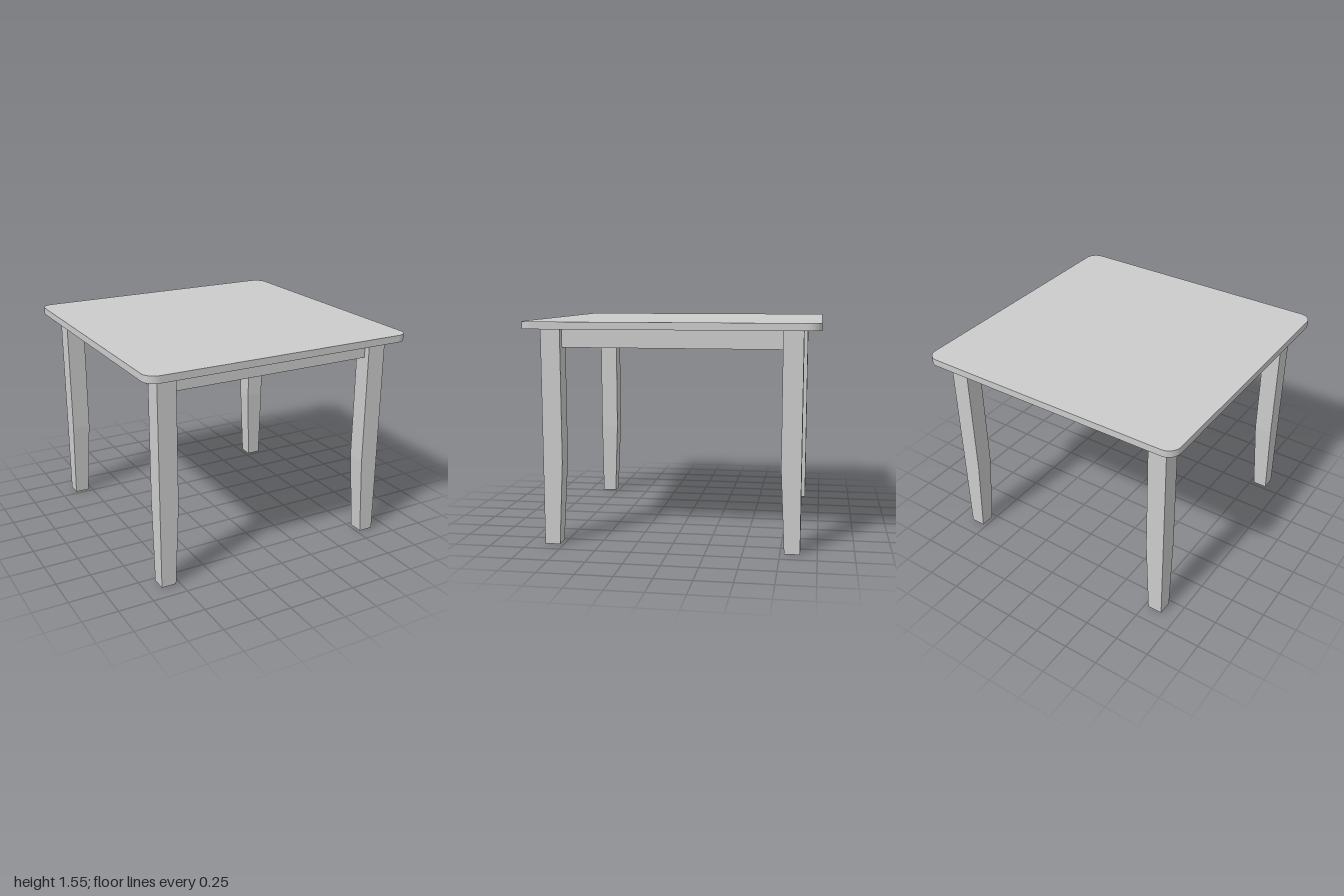
import * as THREE from 'three';

const TOP = 1.55, UNDER = 1.5, OUTER = 0.885, INNER = 0.75, FOOT = 0.778, KNEE = 0.58;
const material = new THREE.MeshStandardMaterial({ color: 0xcccccc });

// Rounded square slab lying flat
function tabletopGeometry(h, r) {
  const s = new THREE.Shape();
  const c = h - r;
  s.absarc(c, c, r, 0, Math.PI / 2);
  s.absarc(-c, c, r, Math.PI / 2, Math.PI);
  s.absarc(-c, -c, r, Math.PI, Math.PI * 1.5);
  s.absarc(c, -c, r, Math.PI * 1.5, Math.PI * 2);
  const g = new THREE.ExtrudeGeometry(s, { depth: TOP - UNDER, bevelEnabled: false, curveSegments: 10 });
  return g.rotateX(-Math.PI / 2).translate(0, UNDER, 0);
}

// Square leg for the +x +z corner: straight above the knee, inner faces tapering below it
function legGeometry() {
  const g = new THREE.BoxGeometry(1, 1, 1, 1, 2, 1).toNonIndexed();
  const p = g.attributes.position;
  for (let i = 0; i < p.count; i++) {
    const level = Math.round(p.getY(i) * 2) + 1; // 0 foot, 1 knee, 2 top
    const inner = level === 0 ? FOOT : INNER;
    p.setXYZ(i, p.getX(i) > 0 ? OUTER : inner, [0, KNEE, UNDER][level], p.getZ(i) > 0 ? OUTER : inner);
  }
  g.computeVertexNormals();
  return g;
}

export function createModel() {
  const table = new THREE.Group();
  table.name = 'table';
  const add = (name, geometry, turn = 0) => {
    const mesh = new THREE.Mesh(geometry, material);
    mesh.name = name;
    mesh.rotation.y = turn;
    table.add(mesh);
  };

  add('tabletop', tabletopGeometry(1, 0.09));

  // Four legs and the four apron rails between them, turned in quarter steps
  const leg = legGeometry();
  const apron = new THREE.BoxGeometry(INNER * 2, 0.13, 0.043).translate(0, UNDER - 0.065, 0.817);
  const legNames = ['frontLeftLeg', 'backLeftLeg', 'backRightLeg', 'frontRightLeg'];
  const apronNames = ['frontApron', 'leftApron', 'backApron', 'rightApron'];
  for (let i = 0; i < 4; i++) {
    add(legNames[i], leg, i * Math.PI / 2);
    add(apronNames[i], apron, i * Math.PI / 2);
  }
  return table;
}
